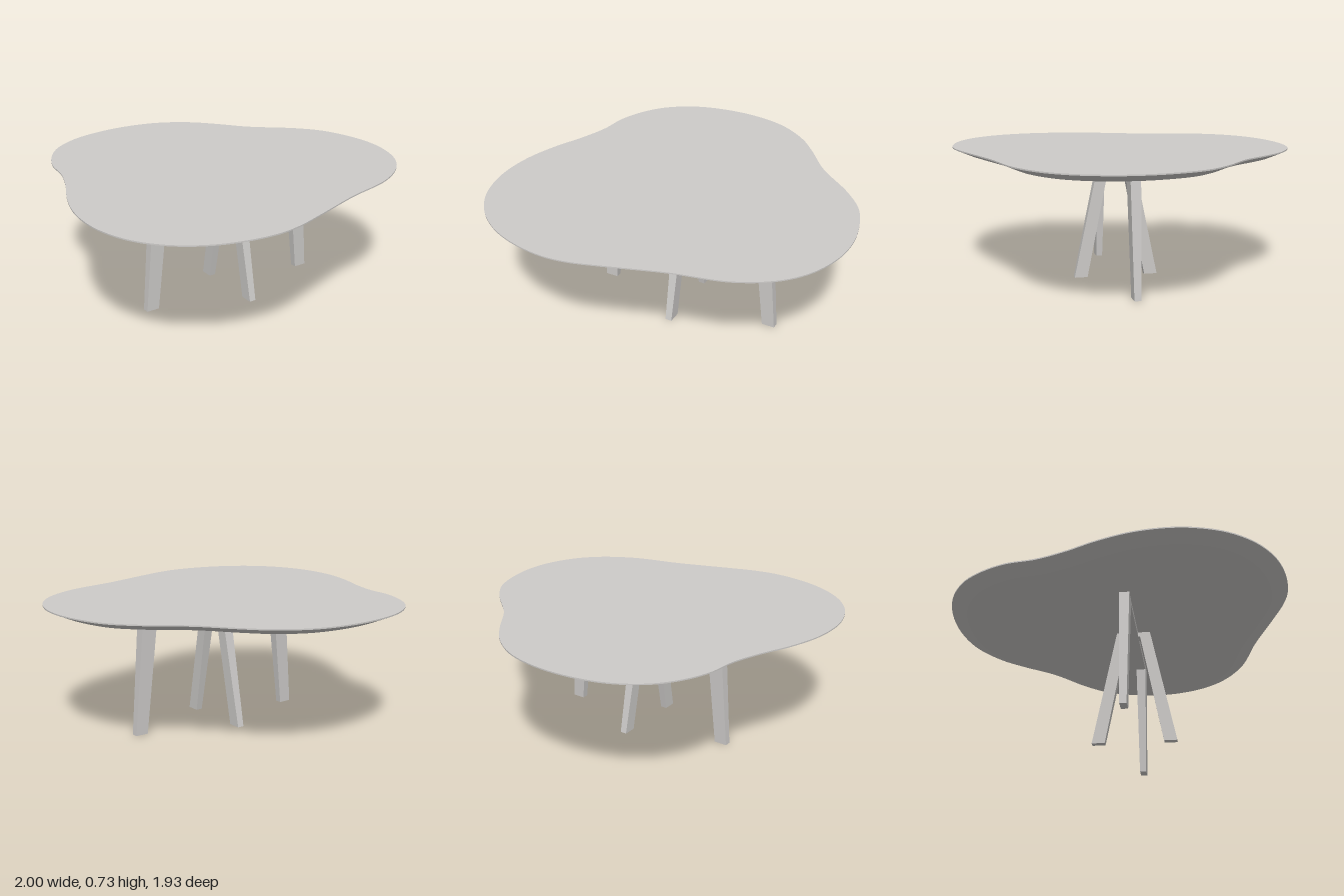
import * as THREE from 'three';

// Outline of the organic tabletop as x, z pairs, clockwise seen from above
const OUTLINE = [
  -0.13, -0.97, 0.14, -0.93, 0.33, -0.82, 0.445, -0.70, 0.59, -0.52, 0.80, -0.34,
  0.915, -0.20, 0.98, -0.02, 1.0, 0.14, 0.983, 0.29, 0.915, 0.46, 0.80, 0.595,
  0.605, 0.71, 0.30, 0.79, 0.0, 0.89, -0.18, 0.945, -0.315, 0.962, -0.50, 0.94,
  -0.67, 0.88, -0.82, 0.775, -0.93, 0.63, -0.988, 0.46, -1.0, 0.32, -0.983, 0.16,
  -0.93, -0.015, -0.85, -0.20, -0.797, -0.36, -0.772, -0.53, -0.705, -0.685,
  -0.605, -0.81, -0.42, -0.92,
];
const TOP = 0.733, LIP = 0.726, UNDER = 0.688, INSET = 0.09;
const CENTRE = [0.025, 0.067];

// Smooth closed loop of the outline, and the same loop moved inwards
function outlineLoops(count) {
  const points = [];
  for (let i = 0; i < OUTLINE.length; i += 2) points.push(new THREE.Vector3(OUTLINE[i], 0, OUTLINE[i + 1]));
  const curve = new THREE.CatmullRomCurve3(points, true);
  const outer = [], inner = [];
  for (let i = 0; i < count; i++) {
    const p = curve.getPointAt(i / count), t = curve.getTangentAt(i / count);
    outer.push(new THREE.Vector2(p.x, p.z));
    inner.push(new THREE.Vector2(p.x - t.z * INSET, p.z + t.x * INSET));
  }
  return { outer, inner };
}

// Band of faces between an upper and a lower loop
function band(upper, yUpper, lower, yLower) {
  const n = upper.length, position = [], index = [];
  upper.forEach((p) => position.push(p.x, yUpper, p.y));
  lower.forEach((p) => position.push(p.x, yLower, p.y));
  for (let i = 0; i < n; i++) {
    const j = (i + 1) % n;
    index.push(i, j, n + i, j, n + j, n + i);
  }
  const geometry = new THREE.BufferGeometry();
  geometry.setAttribute('position', new THREE.Float32BufferAttribute(position, 3));
  geometry.setIndex(index);
  geometry.computeVertexNormals();
  return geometry;
}

// Flat cap facing up or down
function cap(loop, y, up) {
  const shape = new THREE.Shape(loop.map((p) => new THREE.Vector2(p.x, up ? -p.y : p.y)));
  return new THREE.ShapeGeometry(shape).rotateX(up ? -Math.PI / 2 : Math.PI / 2).translate(0, y, 0);
}

// Tapered leg leaning outwards along +x; each end is [inner x, outer x, half thickness]
function legGeometry(top, bottom) {
  const geometry = new THREE.BoxGeometry(1, 1, 1);
  const pos = geometry.attributes.position;
  for (let i = 0; i < pos.count; i++) {
    const isTop = pos.getY(i) > 0, end = isTop ? top : bottom;
    pos.setXYZ(i, end[pos.getX(i) > 0 ? 1 : 0], isTop ? UNDER : 0, Math.sign(pos.getZ(i)) * end[2]);
  }
  geometry.computeVertexNormals();
  return geometry;
}

export function createModel() {
  const model = new THREE.Group();
  model.name = 'table';
  const paleGrey = new THREE.MeshStandardMaterial({ color: 0xcdcbc9 });
  paleGrey.name = 'paleGrey';
  const add = (parent, name, geometry) => {
    const mesh = new THREE.Mesh(geometry, paleGrey);
    mesh.name = name;
    parent.add(mesh);
    return mesh;
  };

  // Tabletop with a thin lip and a wide bevel underneath
  const tabletop = new THREE.Group();
  tabletop.name = 'tabletop';
  const { outer, inner } = outlineLoops(180);
  add(tabletop, 'topSurface', cap(outer, TOP, true));
  add(tabletop, 'edgeLip', band(outer, TOP, outer, LIP));
  add(tabletop, 'underBevel', band(outer, LIP, inner, UNDER));
  add(tabletop, 'underside', cap(inner, UNDER, false));
  model.add(tabletop);

  // Base: two end legs on a long rail, two middle legs splayed front and back
  const base = new THREE.Group();
  base.name = 'base';
  base.position.set(CENTRE[0], 0, CENTRE[1]);
  const endLeg = legGeometry([0.412, 0.505, 0.029], [0.488, 0.563, 0.019]);
  const middleLeg = legGeometry([0.034, 0.098, 0.03], [0.168, 0.243, 0.019]);
  ['leftLeg', 'backLeg', 'rightLeg', 'frontLeg'].forEach((name, i) => {
    add(base, name, i % 2 ? middleLeg : endLeg).rotation.y = i * Math.PI / 2;
  });
  add(base, 'longRail', new THREE.BoxGeometry(0.84, 0.028, 0.056).translate(0, UNDER - 0.014, 0));
  add(base, 'crossRail', new THREE.BoxGeometry(0.058, 0.026, 0.09).translate(0, UNDER - 0.013, 0));
  model.add(base);

  return model;
}
